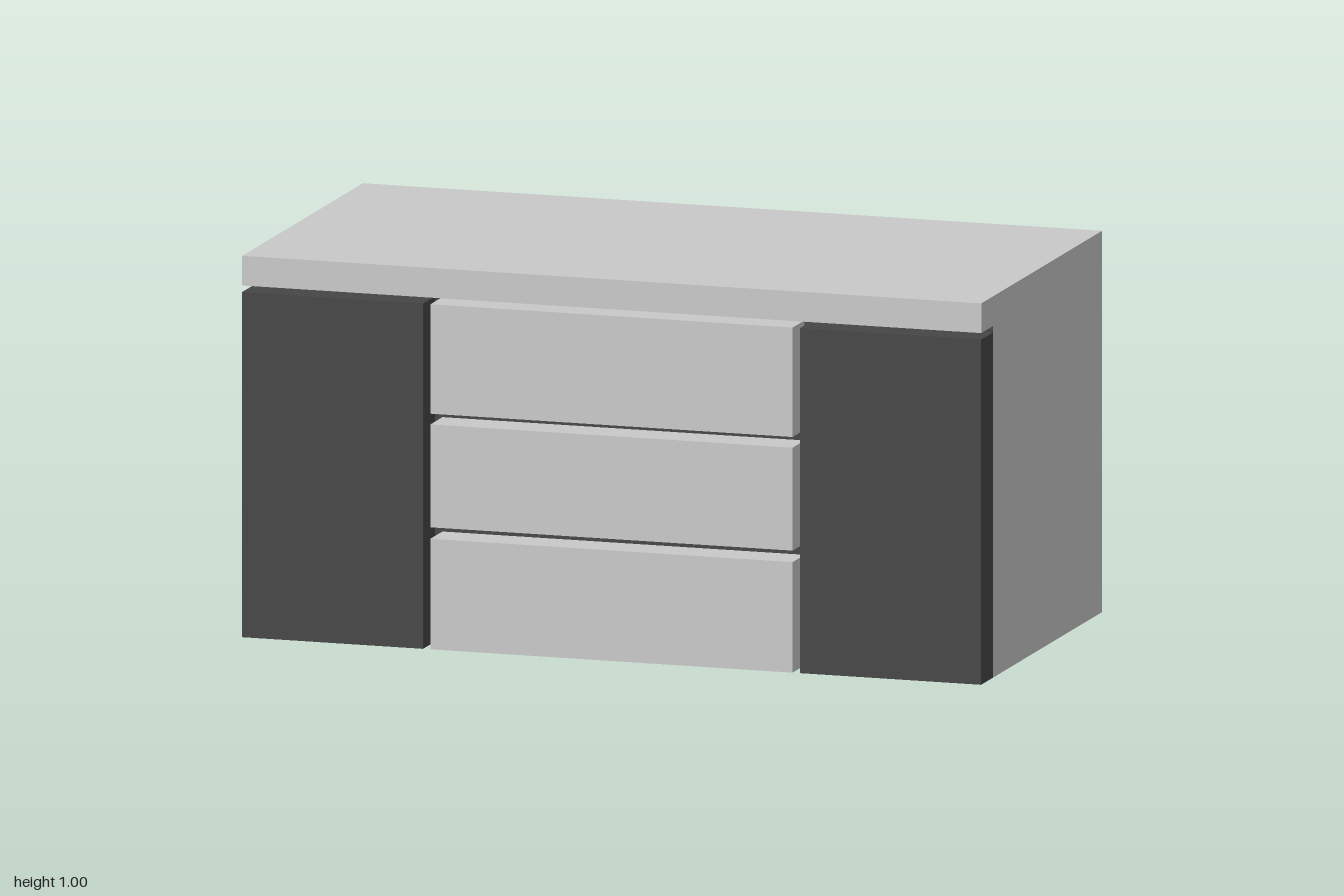
import * as THREE from 'three';

const light = new THREE.MeshStandardMaterial({ color: 0xc9c9c9 });
light.name = 'light grey';
const dark = new THREE.MeshStandardMaterial({ color: 0x464646 });
dark.name = 'dark grey';

// Box given by its lower and upper corners
function box(name, [x0, y0, z0], [x1, y1, z1], material) {
  const geometry = new THREE.BoxGeometry(x1 - x0, y1 - y0, z1 - z0);
  const mesh = new THREE.Mesh(geometry, material);
  mesh.position.set((x0 + x1) / 2, (y0 + y1) / 2, (z0 + z1) / 2);
  mesh.name = name;
  return mesh;
}

export function createModel() {
  const model = new THREE.Group();
  model.name = 'sideboard';
  const recess = 0.4;
  const front = 0.5;

  // Carcass, its recessed front face dark behind the gaps
  model.add(box('carcass', [-1, 0, -0.5], [1, 1, recess],
    [light, light, light, light, dark, light]));

  // Worktop edge overhanging the front
  model.add(box('worktopLip', [-1, 0.922, recess], [1, 1, 0.498], light));

  // Doors either side
  for (const [name, x0, x1] of [['rightDoor', -1, -0.51], ['leftDoor', 0.51, 1]]) {
    model.add(box(name, [x0, 0, recess], [x1, 0.905, front], dark));
  }

  // Drawer fronts, bottom to top
  [[0, 0.29], [0.32, 0.59], [0.618, 0.905]].forEach(([y0, y1], i) => {
    model.add(box(`drawer${i + 1}`, [-0.49, y0, recess], [0.49, y1, front], light));
  });

  return model;
}
